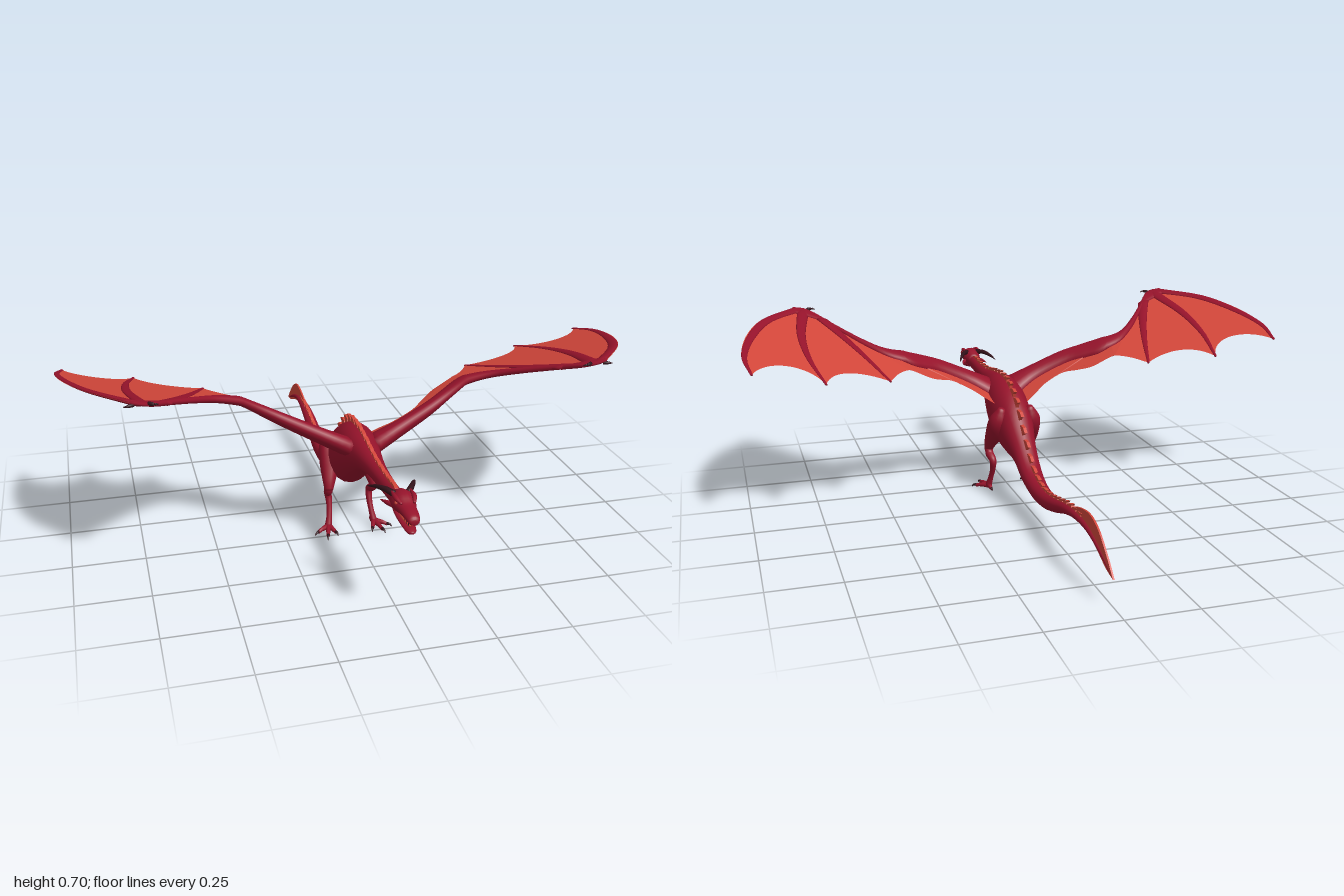
import * as THREE from 'three';

const mat = (color) => new THREE.MeshStandardMaterial({ color, side: THREE.DoubleSide });
const V = (x, y, z) => new THREE.Vector3(x, y, z);
const curve = (pts) => new THREE.CatmullRomCurve3(pts, false, 'catmullrom', 0.5);

// Smooth skin over a list of equal-sized rings, closed at both ends and facing outward
function loft(rings) {
  const mid = (r) => r.reduce((s, p) => s.add(p), V(0, 0, 0)).divideScalar(r.length);
  const all = [rings[0], ...rings, rings.at(-1)].map((r, i, a) => {
    if (i > 0 && i < a.length - 1) return r;
    const c = mid(r);
    return r.map(() => c);
  });
  const n = rings[0].length, flat = all.flat(), index = [];
  for (let i = 0; i < all.length - 1; i++) {
    for (let j = 0; j < n; j++) {
      const a = i * n + j, b = i * n + (j + 1) % n;
      index.push(a, b, a + n, b, b + n, a + n);
    }
  }
  let volume = 0;
  for (let i = 0; i < index.length; i += 3) {
    volume += flat[index[i]].dot(V(0, 0, 0).crossVectors(flat[index[i + 1]], flat[index[i + 2]]));
  }
  if (volume < 0) index.reverse();
  const g = new THREE.BufferGeometry().setFromPoints(flat);
  g.setIndex(index);
  g.computeVertexNormals();
  return g;
}

// Lengthwise body from rows of [z, top, bottom, half width]
function hull(rows, steps, sides = 20) {
  const top = curve(rows.map(([z, t]) => V(0, t, z)));
  const low = curve(rows.map(([z, , b, w]) => V(w, b, z)));
  const rings = [];
  for (let i = 0; i <= steps; i++) {
    const p = top.getPoint(i / steps), q = low.getPoint(i / steps);
    rings.push(Array.from({ length: sides }, (_, k) => {
      const a = k / sides * Math.PI * 2;
      return V(q.x * Math.cos(a), (p.y + q.y) / 2 + (p.y - q.y) / 2 * Math.sin(a), p.z);
    }));
  }
  return { geometry: loft(rings), top };
}

// Tapered round tube through points [x, y, z, radius]
function tube(pts, steps = 14, sides = 10) {
  const c = curve(pts.map(([x, y, z]) => V(x, y, z)));
  const r = curve(pts.map((p) => V(p[3], 0, 0)));
  const rings = [];
  for (let i = 0; i <= steps; i++) {
    const t = i / steps, p = c.getPoint(t), d = c.getTangent(t);
    const u = V(0.9, 0.1, 0.05).cross(d).normalize(), v = d.clone().cross(u);
    rings.push(Array.from({ length: sides }, (_, k) => {
      const a = k / sides * Math.PI * 2, s = Math.max(r.getPoint(t).x, 0.0005);
      return p.clone().addScaledVector(u, s * Math.cos(a)).addScaledVector(v, s * Math.sin(a));
    }));
  }
  return loft(rings);
}

// Height of the wing surface over a point in plan
const wingY = (x, z) => 0.565 + 0.225 * z + 0.21 * (x - 0.73) - 0.33 * Math.max(0, 0.4 - x);

// Flattened wing limb between two plan edges, with thickness from t0 to t1
function blade(front, back, t0, t1, steps = 36) {
  const f = curve(front.map(([x, z]) => V(x, 0, z))), b = curve(back.map(([x, z]) => V(x, 0, z)));
  const rings = [];
  for (let i = 0; i <= steps; i++) {
    const t = i / steps, p = f.getPoint(t), q = b.getPoint(t);
    const h = t1 + (t0 - t1) * (1 - t) ** 2;
    rings.push(Array.from({ length: 12 }, (_, k) => {
      const a = k / 12 * Math.PI * 2, m = p.clone().lerp(q, 0.5 - 0.5 * Math.cos(a));
      return V(m.x, wingY(m.x, m.z) + h * Math.sin(a), m.z);
    }));
  }
  return loft(rings);
}

// Finger bone along plan points, tapering to its tip
function finger(pts, width) {
  const edge = (s) => pts.map(([x, z], i) => {
    const w = s * width * (1 - 0.8 * i / (pts.length - 1));
    return [x + w, z];
  });
  return blade(edge(1), edge(-1), 0.009, 0.003, 20);
}

export function createModel() {
  const root = new THREE.Group();
  root.name = 'dragon';
  const skin = mat(0x96132b), membrane = mat(0xd2463a), dark = mat(0x32121a);
  const add = (parent, name, geometry, material) => {
    const m = new THREE.Mesh(geometry, material);
    m.name = name;
    parent.add(m);
    return m;
  };

  // Neck, trunk and tail in one skin
  const body = hull([
    [0.78, 0.415, 0.365, 0.026], [0.7, 0.408, 0.355, 0.024], [0.6, 0.405, 0.35, 0.027],
    [0.5, 0.41, 0.342, 0.034], [0.4, 0.425, 0.315, 0.05], [0.3, 0.435, 0.25, 0.072],
    [0.2, 0.42, 0.18, 0.08], [0.1, 0.365, 0.16, 0.068], [0, 0.265, 0.15, 0.048],
    [-0.1, 0.182, 0.105, 0.04], [-0.2, 0.148, 0.084, 0.035], [-0.3, 0.145, 0.088, 0.031],
    [-0.4, 0.16, 0.112, 0.026], [-0.5, 0.18, 0.144, 0.022], [-0.6, 0.187, 0.162, 0.017],
    [-0.7, 0.178, 0.158, 0.012], [-0.8, 0.145, 0.13, 0.008], [-0.905, 0.094, 0.088, 0.002],
  ], 90);
  add(root, 'body', body.geometry, skin);

  // Row of back plates, tallest over the hips
  const plate = new THREE.Shape([[0, -0.4], [0.1, 0.25], [0.6, 0.85], [1.15, 1], [0.95, 0.4], [1, -0.4]]
    .map(([x, y]) => new THREE.Vector2(x, y)));
  const plateGeo = new THREE.ExtrudeGeometry(plate, { depth: 1, bevelEnabled: false });
  plateGeo.translate(0, 0, -0.5).rotateY(Math.PI / 2);
  const spines = new THREE.Group();
  spines.name = 'backPlates';
  root.add(spines);
  for (let i = 0; i < 31; i++) {
    const t = 0.03 + i * 0.0262, p = body.top.getPoint(t), d = body.top.getTangent(t);
    const h = 0.011 + 0.024 * Math.exp(-(((p.z - 0.06) / 0.17) ** 2));
    const m = add(spines, 'backPlate', plateGeo, membrane);
    m.position.copy(p);
    m.rotation.x = Math.atan2(d.y, -d.z);
    m.scale.set(0.012, h, 0.046);
  }

  // Upright leaf-shaped tail fin
  const leaf = new THREE.Shape();
  leaf.moveTo(0.52, 0.175);
  leaf.splineThru([[0.6, 0.207], [0.7, 0.222], [0.78, 0.2], [0.86, 0.14], [0.912, 0.09]]
    .map(([x, y]) => new THREE.Vector2(x, y)));
  leaf.splineThru([[0.85, 0.103], [0.75, 0.14], [0.65, 0.16], [0.52, 0.17]]
    .map(([x, y]) => new THREE.Vector2(x, y)));
  const fin = new THREE.ExtrudeGeometry(leaf, { depth: 0.006, bevelEnabled: false, curveSegments: 24 });
  add(root, 'tailFin', fin.translate(0, 0, -0.003).rotateY(Math.PI / 2), membrane);

  // Head with open jaws
  const head = new THREE.Group();
  head.name = 'head';
  root.add(head);
  add(head, 'skull', hull([
    [0.74, 0.415, 0.362, 0.022], [0.78, 0.433, 0.36, 0.035], [0.815, 0.433, 0.368, 0.036],
    [0.85, 0.418, 0.376, 0.028], [0.885, 0.412, 0.378, 0.024], [0.91, 0.405, 0.376, 0.019],
    [0.918, 0.395, 0.378, 0.01],
  ], 24, 14).geometry, skin);
  add(head, 'lowerJaw', hull([
    [0.77, 0.39, 0.357, 0.026], [0.81, 0.372, 0.35, 0.027], [0.86, 0.358, 0.341, 0.021],
    [0.89, 0.352, 0.336, 0.015], [0.902, 0.348, 0.34, 0.006],
  ], 16, 12).geometry, skin);
  add(head, 'tongue', hull([[0.79, 0.378, 0.362, 0.018], [0.84, 0.37, 0.356, 0.015],
    [0.88, 0.362, 0.354, 0.006]], 10, 8).geometry, membrane);

  // Everything paired is built on the left and mirrored
  const side = new THREE.Group();
  side.name = 'leftSide';
  add(side, 'horn', tube([[0.022, 0.42, 0.785, 0.011], [0.042, 0.425, 0.755, 0.009],
    [0.062, 0.418, 0.715, 0.006], [0.078, 0.405, 0.68, 0.001]]), dark);
  add(side, 'cheekSpike', tube([[0.025, 0.385, 0.785, 0.01], [0.04, 0.385, 0.765, 0.007],
    [0.052, 0.382, 0.735, 0.001]]), skin);
  add(side, 'brow', tube([[0.02, 0.418, 0.85, 0.004], [0.029, 0.425, 0.82, 0.008],
    [0.03, 0.428, 0.78, 0.003]]), skin);
  const eye = add(side, 'eye', new THREE.SphereGeometry(0.006, 10, 8), membrane);
  eye.position.set(0.029, 0.412, 0.826);
  for (const z of [0.865, 0.885, 0.903]) {
    const tooth = add(side, 'tooth', new THREE.ConeGeometry(0.003, 0.014, 5), dark);
    tooth.position.set(0.014, 0.376, z);
    tooth.rotation.x = Math.PI;
  }

  // Wing: membrane with scalloped rear edge, arm, fingers and thumb claw
  const wing = new THREE.Group();
  wing.name = 'wing';
  side.add(wing);
  const s = new THREE.Shape();
  s.moveTo(0.04, 0.16);
  s.splineThru([[0.1, 0.185], [0.15, 0.21], [0.22, 0.21], [0.27, 0.17], [0.32, 0.135], [0.4, 0.12],
    [0.45, 0.075], [0.495, 0]].map(([x, z]) => new THREE.Vector2(x, z)));
  s.bezierCurveTo(0.57, 0.045, 0.69, 0.055, 0.73, -0.09);
  s.bezierCurveTo(0.78, 0.055, 0.92, 0.045, 0.973, -0.09);
  s.splineThru([[0.997, 0.04], [0.97, 0.22], [0.9, 0.395], [0.775, 0.55]]
    .map(([x, z]) => new THREE.Vector2(x, z)));
  s.lineTo(0.71, 0.53);
  s.splineThru([[0.57, 0.34], [0.48, 0.255], [0.4, 0.235], [0.3, 0.28], [0.2, 0.3], [0.04, 0.31]]
    .map(([x, z]) => new THREE.Vector2(x, z)));
  const web = new THREE.ShapeGeometry(s, 20), wp = web.attributes.position;
  for (let i = 0; i < wp.count; i++) {
    const x = wp.getX(i), z = wp.getY(i);
    wp.setXYZ(i, x, wingY(x, z), z);
  }
  web.index.array.reverse();
  web.computeVertexNormals();
  add(wing, 'wingMembrane', web, membrane);
  add(wing, 'wingArm', blade(
    [[0.03, 0.39], [0.13, 0.36], [0.25, 0.337], [0.34, 0.3], [0.41, 0.272], [0.49, 0.283],
      [0.57, 0.36], [0.65, 0.46], [0.72, 0.553], [0.775, 0.553]],
    [[0.03, 0.24], [0.13, 0.275], [0.25, 0.258], [0.32, 0.22], [0.38, 0.19], [0.46, 0.21],
      [0.54, 0.285], [0.61, 0.375], [0.68, 0.46], [0.775, 0.5]], 0.04, 0.008), skin);
  add(wing, 'innerFinger', finger([[0.67, 0.47], [0.61, 0.33], [0.55, 0.17], [0.495, 0]], 0.024), skin);
  add(wing, 'middleFinger', finger([[0.74, 0.52], [0.77, 0.3], [0.765, 0.1], [0.73, -0.09]], 0.022), skin);
  add(wing, 'outerFinger', finger([[0.755, 0.54], [0.885, 0.385], [0.955, 0.21], [0.988, 0.04],
    [0.973, -0.09]], 0.024), skin);
  for (const [x, tip] of [[0.72, 0.69], [0.765, 0.795]]) {
    add(wing, 'wingClaw', tube([[x, 0.69, 0.545, 0.007], [(x + tip) / 2, 0.691, 0.555, 0.005],
      [tip, 0.688, 0.552, 0.001]], 8, 8), dark);
  }

  // Leg: thigh, bent shank and clawed toes
  const leg = new THREE.Group();
  leg.name = 'leg';
  side.add(leg);
  add(leg, 'thigh', tube([[0.055, 0.35, 0.11, 0.012], [0.064, 0.3, 0.125, 0.036], [0.07, 0.245, 0.155, 0.036],
    [0.08, 0.195, 0.188, 0.024], [0.085, 0.16, 0.205, 0.015]], 20, 14), skin);
  add(leg, 'shank', tube([[0.084, 0.18, 0.2, 0.014], [0.084, 0.15, 0.19, 0.016], [0.078, 0.128, 0.162, 0.014],
    [0.076, 0.09, 0.172, 0.011], [0.08, 0.05, 0.188, 0.01], [0.086, 0.015, 0.2, 0.013]], 24, 12), skin);
  for (const [x, z] of [[0.066, 0.255], [0.105, 0.275], [0.138, 0.235], [0.082, 0.165]]) {
    const at = (k, y, r) => [0.086 + (x - 0.086) * k, y, 0.2 + (z - 0.2) * k, r];
    add(leg, 'toe', tube([at(0, 0.014, 0.011), at(0.5, 0.013, 0.008), at(0.85, 0.008, 0.006)], 8, 8), skin);
    add(leg, 'toeClaw', tube([at(0.8, 0.01, 0.006), at(1, 0.009, 0.004), at(1.12, 0.001, 0.001)], 6, 6), dark);
  }

  const mirrored = side.clone();
  mirrored.name = 'rightSide';
  mirrored.scale.x = -1;
  root.add(side, mirrored);
  return root;
}
